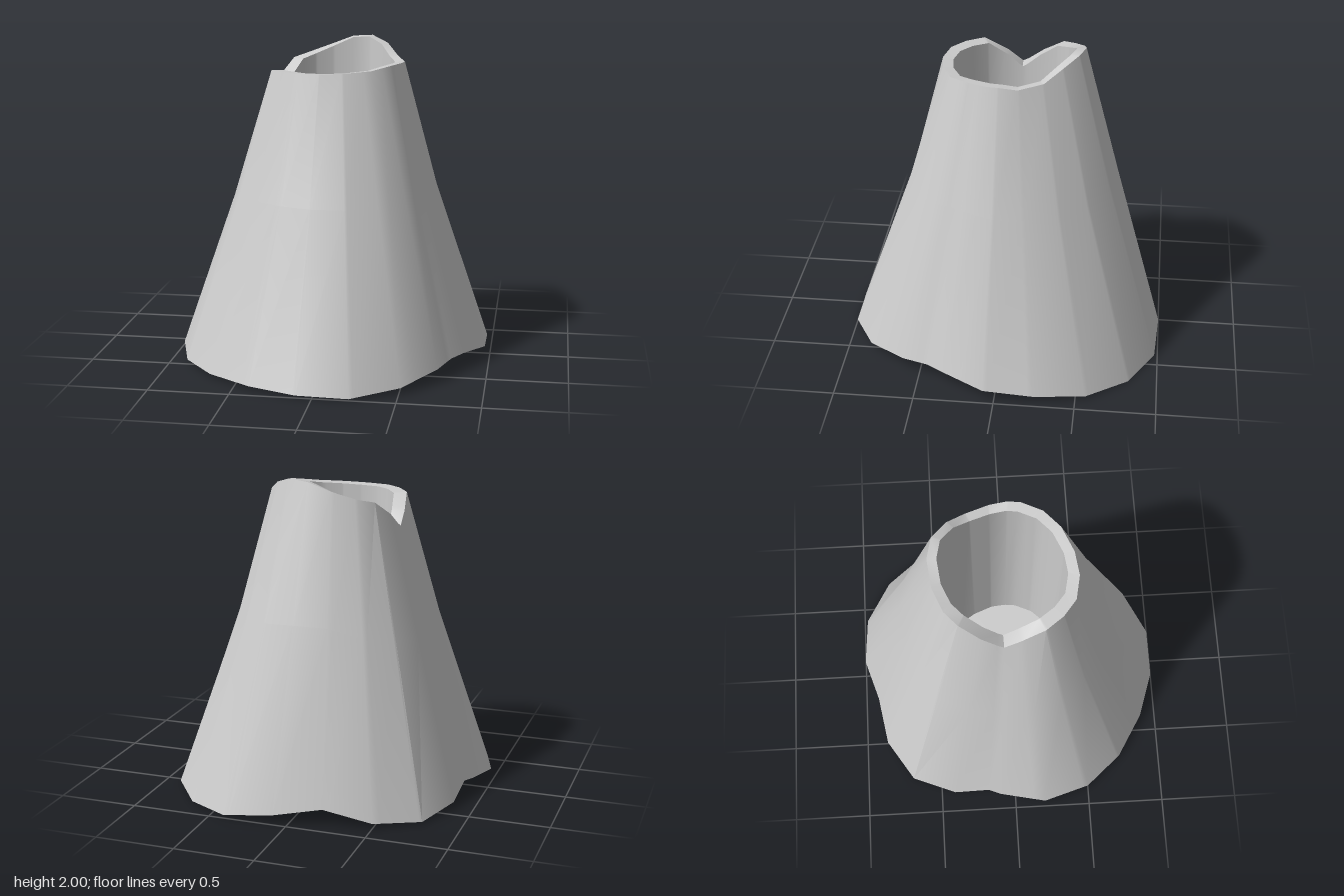
import * as THREE from 'three';
import { toCreasedNormals } from 'three/addons/utils/BufferGeometryUtils.js';

const vec = (p) => new THREE.Vector3(...p);

// uneven foot of the cone, corners as x, y, z
const foot = [
  [0.97, 0.07, 0.07], [0.85, 0.11, 0.35], [0.78, 0.10, 0.44], [0.71, 0.085, 0.61],
  [0.51, 0.04, 0.85], [0.22, 0.01, 1], [-0.10, 0.015, 1], [-0.40, 0.02, 0.90],
  [-0.68, 0.025, 0.73], [-0.88, 0.03, 0.50], [-0.975, 0.05, 0.20], [-0.92, 0.09, -0.10],
  [-0.89, 0.10, -0.18], [-0.88, 0.04, -0.42], [-0.76, 0.01, -0.69], [-0.50, 0.03, -0.86],
  [-0.20, 0.10, -0.91], [0.09, 0.06, -1], [0.41, 0.01, -0.98], [0.69, 0, -0.82],
  [0.89, 0.015, -0.56], [0.97, 0.05, -0.24],
].map(vec);

// wavy mouth with a notch on one side and a peak at the back
const mouth = [
  [0.43, 1.885, 0.02], [0.42, 1.885, 0.10], [0.36, 1.88, 0.23], [0.26, 1.86, 0.33],
  [0.10, 1.85, 0.40], [-0.05, 1.845, 0.42], [-0.20, 1.845, 0.39], [-0.30, 1.845, 0.31],
  [-0.38, 1.84, 0.20], [-0.41, 1.75, 0.05], [-0.415, 1.67, -0.05], [-0.39, 1.77, -0.18],
  [-0.33, 1.86, -0.31], [-0.25, 1.885, -0.39], [-0.12, 1.93, -0.45], [0.04, 1.99, -0.47],
  [0.17, 2, -0.44], [0.28, 1.96, -0.35], [0.36, 1.89, -0.24], [0.42, 1.87, -0.09],
].map(vec);

// how far the slope is hollowed at each eighth of a turn, from +x towards +z
const hollows = [0.04, 0.01, 0.06, 0.06, 0, 0, 0, 0.06];

const TAU = Math.PI * 2;
const angleOf = (p) => (Math.atan2(p.z, p.x) + TAU) % TAU;

function hollowAt(angle) {
  const f = (angle / TAU) * 8, i = Math.floor(f);
  return THREE.MathUtils.lerp(hollows[i % 8], hollows[(i + 1) % 8], f - i);
}

// point of a closed outline at a given angle round the axis
function pointAt(outline, angle) {
  for (let i = 0; i < outline.length; i++) {
    const a = outline[i], b = outline[(i + 1) % outline.length];
    const start = angleOf(a);
    const span = (angleOf(b) - start + TAU) % TAU;
    const t = ((angle - start + TAU) % TAU) / span;
    if (t <= 1) return a.clone().lerp(b, t);
  }
  return outline[0].clone();
}

// skin stretched over successive rings, dropping collapsed triangles
function skin(name, rings) {
  const pos = [];
  const add = (a, b, c) => {
    if (a.distanceTo(b) > 1e-5 && b.distanceTo(c) > 1e-5 && c.distanceTo(a) > 1e-5) {
      for (const p of [a, b, c]) pos.push(p.x, p.y, p.z);
    }
  };
  for (let r = 0; r < rings.length - 1; r++) {
    const low = rings[r], high = rings[r + 1];
    for (let i = 0; i < low.length; i++) {
      const j = (i + 1) % low.length;
      add(low[i], high[i], low[j]);
      add(low[j], high[i], high[j]);
    }
  }
  const geo = new THREE.BufferGeometry();
  geo.setAttribute('position', new THREE.Float32BufferAttribute(pos, 3));
  const mesh = new THREE.Mesh(
    toCreasedNormals(geo, 0.56),
    new THREE.MeshStandardMaterial({ color: 0xcccccc }),
  );
  mesh.name = name;
  return mesh;
}

export function createModel() {
  const angles = [...foot, ...mouth].map(angleOf).sort((a, b) => a - b)
    .filter((a, i, all) => i === 0 || a - all[i - 1] > 0.015);

  const base = angles.map((a) => pointAt(foot, a));
  const rim = angles.map((a) => pointAt(mouth, a));

  // middle of the slope, gently hollowed
  const waist = base.map((p, i) => {
    const s = 1 - hollowAt(angles[i]);
    return p.clone().lerp(rim[i], 0.57).multiply(new THREE.Vector3(s, 1, s));
  });

  // inner edge of the mouth, and the pit below it
  const lip = rim.map((p) => new THREE.Vector3(
    0.02 + (p.x - 0.01) * 0.835, p.y - 0.005, -0.03 + (p.z + 0.025) * 0.86));
  const pit = lip.map((p) => new THREE.Vector3(
    0.0275 + (p.x - 0.02) * 0.98, 0.3, -0.0375 + (p.z + 0.03) * 0.98));
  const centre = (y) => angles.map(() => new THREE.Vector3(0, y, 0));

  const model = new THREE.Group();
  model.name = 'hollowCone';
  model.add(
    skin('underside', [centre(0.03), base]),
    skin('slope', [base, waist, rim]),
    skin('rim', [rim, lip]),
    skin('pitWall', [lip, pit]),
    skin('pitFloor', [pit, centre(0.3)]),
  );
  return model;
}
